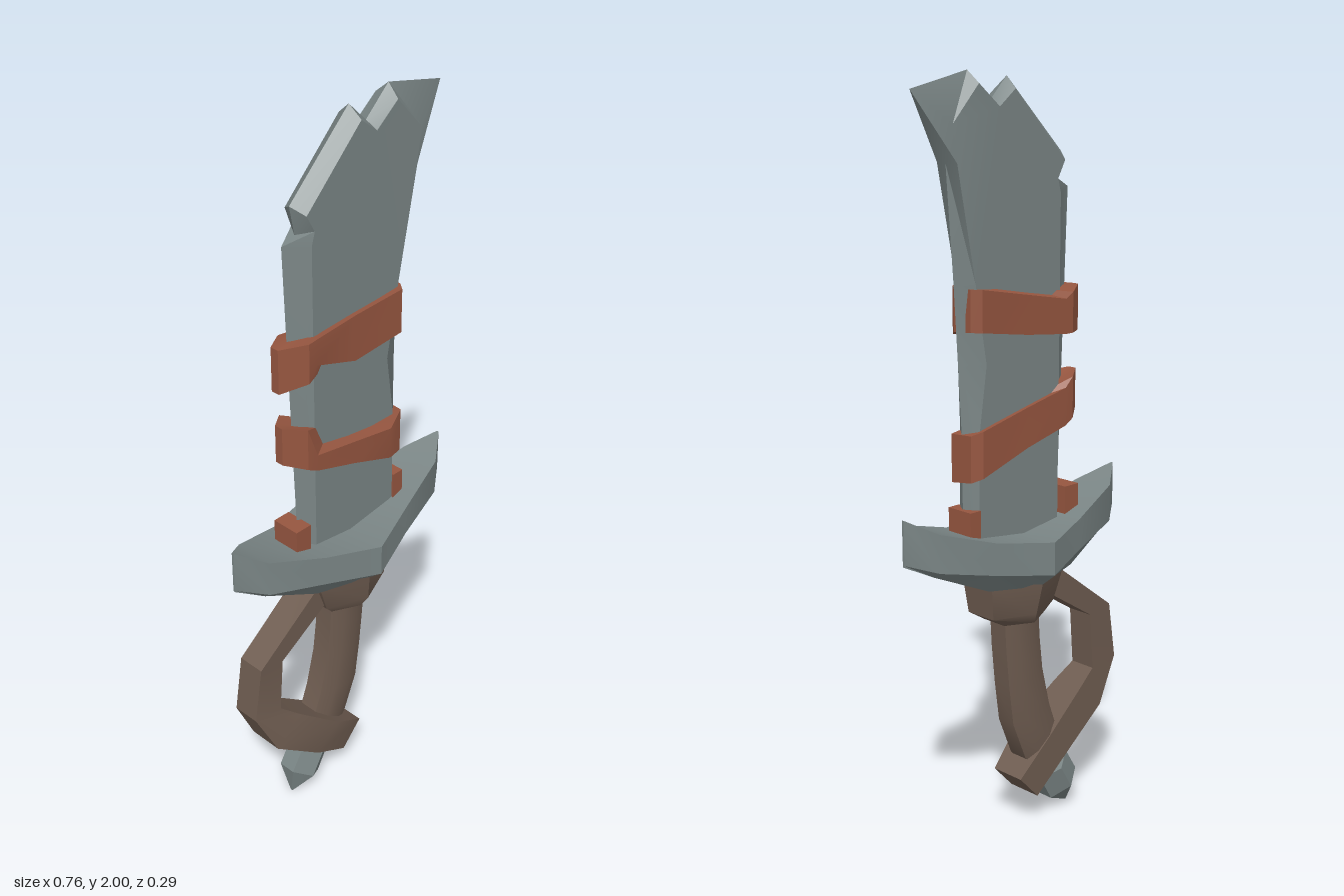
import * as THREE from 'three';
import { toCreasedNormals } from 'three/addons/utils/BufferGeometryUtils.js';

const mat = (name, color) => {
  const m = new THREE.MeshStandardMaterial({ color });
  m.name = name;
  return m;
};

// Triangles to a closed solid; turned outward by the sign of its volume
function solid(tris) {
  let vol = 0;
  for (const [a, b, c] of tris) {
    vol += a[0] * (b[1] * c[2] - b[2] * c[1]) + a[1] * (b[2] * c[0] - b[0] * c[2]) + a[2] * (b[0] * c[1] - b[1] * c[0]);
  }
  const pts = tris.flatMap(([a, b, c]) => (vol < 0 ? [a, c, b] : [a, b, c])).flat();
  const g = new THREE.BufferGeometry();
  g.setAttribute('position', new THREE.Float32BufferAttribute(pts, 3));
  g.computeVertexNormals();
  return toCreasedNormals(g, 0.5);
}

// Skin a series of equal rings and close both ends
function loft(rings) {
  const tris = [], n = rings[0].length;
  for (let i = 0; i + 1 < rings.length; i++) {
    for (let j = 0; j < n; j++) {
      const k = (j + 1) % n, a = rings[i], b = rings[i + 1];
      tris.push([a[j], a[k], b[k]], [a[j], b[k], b[j]]);
    }
  }
  [rings[0], rings[rings.length - 1]].forEach((r, end) => {
    const c = [0, 1, 2].map((d) => r.reduce((s, p) => s + p[d], 0) / n);
    for (let j = 0; j < n; j++) {
      const p = r[j], q = r[(j + 1) % n];
      tris.push(end ? [c, p, q] : [c, q, p]);
    }
  });
  return solid(tris);
}

// Bevelled plate: flat faces at +-t, joined to a ridge outline at z = 0
function plate(rows, t) {
  const tris = [], n = rows.length;
  const faces = THREE.ShapeUtils.triangulateShape(rows.map((r) => new THREE.Vector2(r[0], r[1])), []);
  for (const s of [1, -1]) {
    const add = (a, b, c) => tris.push(s > 0 ? [a, b, c] : [a, c, b]);
    const inner = rows.map((r) => [r[0], r[1], s * t]);
    const outer = rows.map((r) => [r[2], r[3], 0]);
    faces.forEach(([a, b, c]) => add(inner[a], inner[b], inner[c]));
    for (let i = 0; i < n; i++) {
      const k = (i + 1) % n;
      add(inner[i], outer[i], outer[k]);
      add(inner[i], outer[k], inner[k]);
    }
  }
  return solid(tris);
}

// Ring between a left and a right point; profile is [share across, share of half depth]
function ringAcross([lx, ly, rx, ry, hz], profile) {
  const side = (s) => profile.map(([t, d]) => [lx + (rx - lx) * t, ly + (ry - ly) * t, s * d * hz]);
  return [...side(1), ...side(-1).reverse()];
}

export function createModel() {
  const group = new THREE.Group();
  const steel = mat('steel', 0x7a8585);
  const wood = mat('brown grip', 0x6e5c50);
  const leather = mat('leather strap', 0x965640);
  const add = (name, geo, material) => {
    const m = new THREE.Mesh(geo, material);
    m.name = name;
    group.add(m);
    return m;
  };

  // Blade: [face x, face y, ridge x, ridge y], counterclockwise
  add('blade', plate([
    [-0.125, 0.78, -0.155, 0.78],
    [0.16, 0.78, 0.18, 0.78],
    [0.155, 1.13, 0.183, 1.13],
    [0.13, 1.3, 0.193, 1.3],
    [0.165, 1.5, 0.205, 1.5],
    [0.222, 1.79, 0.227, 1.79],
    [0.235, 1.88, 0.335, 1.96],
    [0.15, 1.97, 0.155, 2.0],
    [0.082, 1.915, 0.08, 1.93],
    [0.03, 1.955, 0.025, 1.985],
    [-0.145, 1.78, -0.165, 1.8],
    [-0.12, 1.735, -0.15, 1.725],
    [-0.13, 1.7, -0.192, 1.71],
  ], 0.035), steel);

  // Cross guard: [x, half depth, top, rim bottom, keel]
  const half = [
    [0.38, 0.003, 0.95, 0.835, 0.83],
    [0.31, 0.055, 0.91, 0.81, 0.795],
    [0.15, 0.095, 0.86, 0.775, 0.725],
    [0, 0.147, 0.84, 0.752, 0.71],
  ];
  const stations = [...half.map(([x, ...r]) => [-x, ...r]), ...half.slice(0, 3).reverse()];
  add('crossGuard', loft(stations.map(([x, h, top, rim, keel]) => [
    [x, top, h], [x, rim, h], [x, keel, h * 0.65],
    [x, keel, -h * 0.65], [x, rim, -h], [x, top, -h],
  ])), steel);

  // Collar under the guard, six-sided
  const hexRing = (y, rx, rz, cx) => Array.from({ length: 6 }, (_, i) => {
    const a = (i * Math.PI) / 3;
    return [cx + rx * Math.sin(a), y, rz * Math.cos(a)];
  });
  add('collar', loft([
    hexRing(0.725, 0.153, 0.106, 0), hexRing(0.635, 0.128, 0.092, 0.01), hexRing(0.605, 0.085, 0.075, 0),
  ]), wood);

  // Curved grip
  const gripProfile = [[0, 0.65], [0.3, 1], [0.7, 1], [1, 0.65]];
  add('grip', loft([
    [-0.065, 0.63, 0.062, 0.63, 0.042],
    [-0.068, 0.54, 0.056, 0.53, 0.042],
    [-0.08, 0.44, 0.045, 0.42, 0.042],
    [-0.107, 0.33, 0.03, 0.31, 0.042],
    [-0.14, 0.24, -0.015, 0.2, 0.042],
    [-0.175, 0.155, -0.09, 0.115, 0.036],
  ].map((s) => ringAcross(s, gripProfile))), wood);

  // Pointed pommel
  const pommelProfile = [[0, 0.45], [0.5, 1], [1, 0.45]];
  add('pommel', loft([
    [-0.178, 0.165, -0.08, 0.11, 0.055],
    [-0.218, 0.1, -0.12, 0.04, 0.055],
    [-0.203, 0.002, -0.2, 0, 0.004],
  ].map((s) => ringAcross(s, pommelProfile))), steel);

  // Knuckle guard: [outer x, y, inner x, y, back z, front z]
  add('knuckleGuard', loft([
    [-0.08, 0.725, -0.06, 0.635, -0.04, 0.04],
    [-0.13, 0.715, -0.105, 0.645, -0.04, 0.04],
    [-0.335, 0.56, -0.258, 0.547, -0.038, 0.038],
    [-0.36, 0.4, -0.27, 0.387, -0.038, 0.038],
    [-0.3, 0.27, -0.215, 0.34, -0.04, 0.055],
    [-0.17, 0.178, -0.09, 0.24, -0.045, 0.078],
    [-0.04, 0.085, 0.025, 0.155, -0.05, 0.05],
  ].map(([ox, oy, ix, iy, z0, z1]) => [[ox, oy, z0], [ox, oy, z1], [ix, iy, z1], [ix, iy, z0]])), wood);

  // Straps around the blade: [x, z, top, bottom], going round from the spine
  const strap = (name, rows) => add(name, loft([
    rows.map(([x, z, , bottom]) => [x, bottom, z]),
    rows.map(([x, z, top]) => [x, top, z]),
  ]), leather);
  strap('upperStrap', [
    [-0.222, 0.012, 1.46, 1.34], [-0.16, 0.053, 1.467, 1.36], [-0.135, 0.053, 1.47, 1.4],
    [0, 0.05, 1.48, 1.355], [0.16, 0.053, 1.49, 1.37], [0.178, 0.03, 1.49, 1.38],
    [0.178, -0.03, 1.49, 1.385], [0.16, -0.053, 1.49, 1.385], [0, -0.05, 1.46, 1.36],
    [-0.135, -0.053, 1.435, 1.345], [-0.16, -0.053, 1.45, 1.345], [-0.222, -0.012, 1.46, 1.34],
  ]);
  strap('lowerStrap', [
    [-0.215, 0.012, 1.24, 1.135], [-0.165, 0.05, 1.23, 1.115], [-0.135, 0.053, 1.145, 1.1],
    [0, 0.05, 1.12, 1.055], [0.13, 0.053, 1.1, 1.01], [0.185, 0.035, 1.125, 1.0],
    [0.185, -0.035, 1.13, 1.01], [0.16, -0.053, 1.14, 1.02], [0, -0.05, 1.175, 1.07],
    [-0.135, -0.053, 1.205, 1.105], [-0.165, -0.05, 1.23, 1.12], [-0.215, -0.012, 1.24, 1.135],
  ]);

  // Strap ends showing at both edges just above the guard
  for (const [name, x, w] of [['spineStrapEnd', -0.175, 0.05], ['edgeStrapEnd', 0.175, 0.035]]) {
    add(name, new THREE.BoxGeometry(w, 0.12, 0.08), leather).position.set(x, 0.875, 0);
  }
  return group;
}
